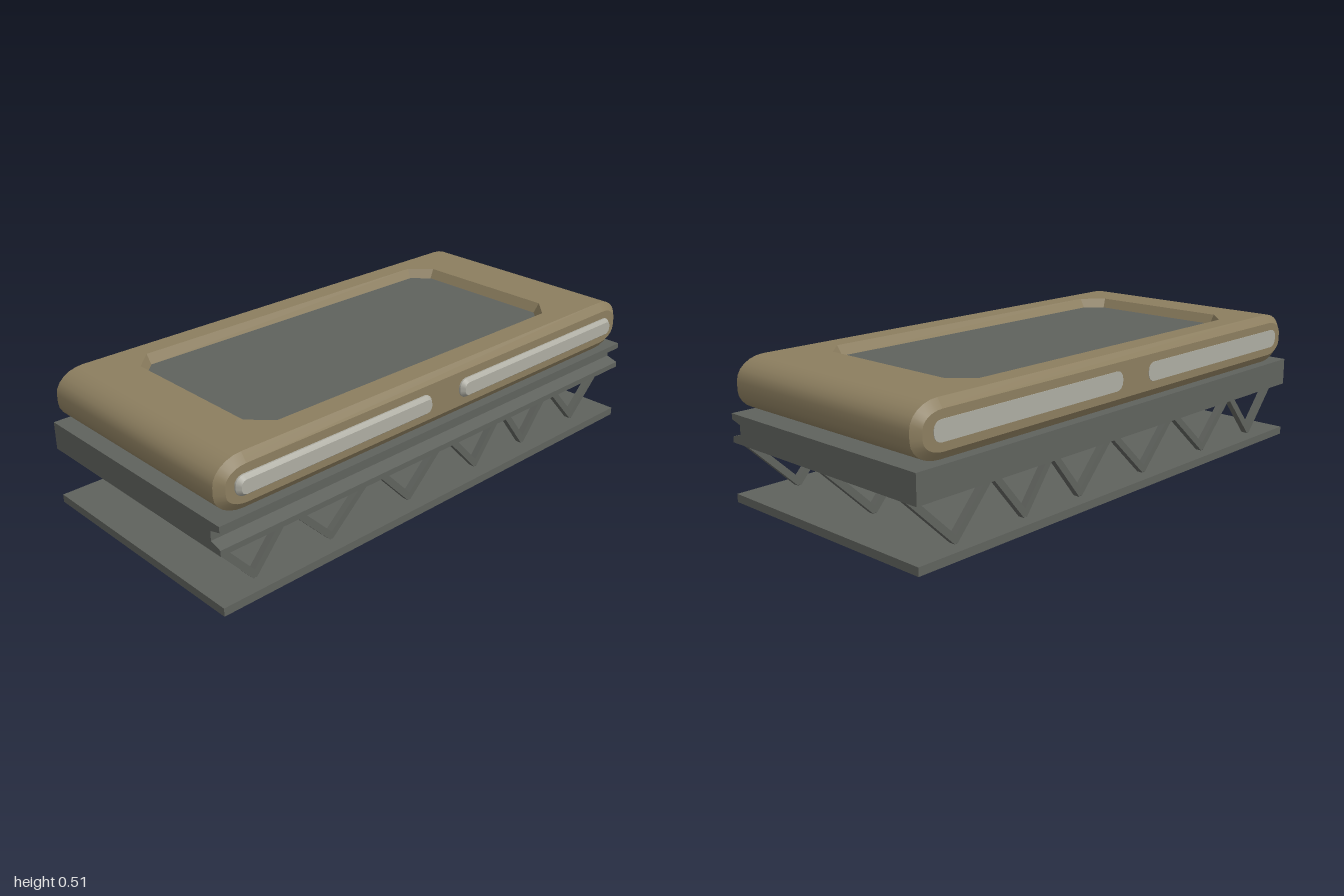
import * as THREE from 'three';
import { toCreasedNormals } from 'three/addons/utils/BufferGeometryUtils.js';

const grey = new THREE.MeshStandardMaterial({ name: 'frameGrey', color: 0x5f625d });
const tan = new THREE.MeshStandardMaterial({ name: 'bodyTan', color: 0x8c7e5f });
const pale = new THREE.MeshStandardMaterial({ name: 'lampPale', color: 0xadaca2 });

function mesh(name, geometry, material, x = 0, y = 0, z = 0) {
  const m = new THREE.Mesh(geometry, material);
  m.name = name;
  m.position.set(x, y, z);
  return m;
}

// Counter-clockwise rounded rectangle; the first point starts the upper right corner.
function roundedRing(hw, hh, rx, ry, steps = 6) {
  const points = [];
  for (let c = 0; c < 4; c++) {
    const sx = c === 0 || c === 3 ? 1 : -1;
    const sy = c < 2 ? 1 : -1;
    for (let i = 0; i <= steps; i++) {
      const a = (c + i / steps) * Math.PI / 2;
      points.push(new THREE.Vector2(sx * (hw - rx) + rx * Math.cos(a), sy * (hh - ry) + ry * Math.sin(a)));
    }
  }
  return points;
}

// Counter-clockwise rectangle with cut corners.
function octagon(x0, x1, y0, y1, c) {
  return [[x1, y0 + c], [x1, y1 - c], [x1 - c, y1], [x0 + c, y1],
    [x0, y1 - c], [x0, y0 + c], [x0 + c, y0], [x1 - c, y0]].map(p => new THREE.Vector2(...p));
}

// Skin between rings of Vector3; skip(ring, side) leaves a quad out.
function loft(rings, skip = () => false) {
  const pos = [];
  for (let r = 0; r < rings.length - 1; r++) {
    const n = rings[r].length;
    for (let i = 0; i < n; i++) {
      if (skip(r, i)) continue;
      const a = rings[r][i], b = rings[r][(i + 1) % n];
      const c = rings[r + 1][(i + 1) % n], d = rings[r + 1][i];
      for (const p of [a, b, c, a, c, d]) pos.push(p.x, p.y, p.z);
    }
  }
  const g = new THREE.BufferGeometry();
  g.setAttribute('position', new THREE.Float32BufferAttribute(pos, 3));
  return toCreasedNormals(g, 0.5);
}

function createBody() {
  const body = new THREE.Group();
  body.name = 'body';
  body.position.y = 0.417;
  const hw = 0.992, hh = 0.095, rx = 0.11, ry = 0.08, back = -0.437, front = 0.432, steps = 6;
  const full = roundedRing(hw, hh, rx, ry, steps);
  const inset = roundedRing(hw - 0.03, hh - 0.03, rx - 0.03, ry - 0.03, steps);
  const at = (ring, z) => ring.map(p => new THREE.Vector3(p.x, p.y, z));

  // Shell with bevelled ends, open where the recessed top goes
  body.add(mesh('shell', loft(
    [at(inset, -0.46), at(full, back), at(full, front), at(inset, 0.455)],
    (r, i) => r === 1 && i === steps), tan));
  const cap = new THREE.ShapeGeometry(new THREE.Shape(inset));
  body.add(mesh('frontFace', cap, tan, 0, 0, 0.455));
  const backFace = mesh('backFace', cap, tan, 0, 0, -0.46);
  backFace.rotation.y = Math.PI;
  body.add(backFace);

  // Top with a cut-cornered, sloping recess
  const rim = octagon(-0.75, 0.71, -0.35, 0.36, 0.075);
  const sill = octagon(-0.732, 0.69, -0.328, 0.34, 0.06);
  const topX = hw - rx;
  const top = new THREE.Shape([[-topX, -front], [topX, -front], [topX, -back], [-topX, -back]]
    .map(p => new THREE.Vector2(...p)));
  top.holes.push(new THREE.Path(rim.slice().reverse()));
  body.add(mesh('top', new THREE.ShapeGeometry(top).rotateX(-Math.PI / 2), tan, 0, hh, 0));
  const level = (ring, y) => ring.map(p => new THREE.Vector3(p.x, y, -p.y));
  const floorY = hh - 0.035;
  body.add(mesh('recessWall', loft([level(rim, hh), level(sill, floorY)]), tan));
  body.add(mesh('recessFloor', new THREE.ShapeGeometry(new THREE.Shape(sill)).rotateX(-Math.PI / 2),
    grey, 0, floorY, 0));

  // Raised lamps at the front, flush ones at the back
  for (const [x0, x1] of [[-0.93, -0.095], [0.05, 0.92]]) {
    const half = (x1 - x0) / 2, x = (x0 + x1) / 2;
    const outer = roundedRing(half, 0.035, 0.03, 0.03, 4);
    const inner = roundedRing(half - 0.012, 0.024, 0.02, 0.02, 4);
    body.add(mesh('frontLampRim', loft([at(outer, 0.455), at(outer, 0.461), at(inner, 0.475)]), pale, x));
    body.add(mesh('frontLampFace', new THREE.ShapeGeometry(new THREE.Shape(inner)), pale, x, 0, 0.475));
    const rear = mesh('backLamp', new THREE.ExtrudeGeometry(new THREE.Shape(outer),
      { depth: 0.004, bevelEnabled: false }), pale, x, 0, -0.462);
    body.add(rear);
  }
  return body;
}

function createTruss(z) {
  const truss = new THREE.Group();
  truss.name = 'truss';
  const joints = [-0.985, -0.83, -0.68, -0.505, -0.305, -0.135, 0.052, 0.218, 0.36, 0.493, 0.64, 0.802, 0.985];
  for (let i = 0; i < joints.length - 1; i++) {
    const yA = i % 2 ? 0.042 : 0.219, yB = i % 2 ? 0.219 : 0.042;
    const dx = joints[i + 1] - joints[i], dy = yB - yA;
    const strut = mesh('strut', new THREE.BoxGeometry(Math.hypot(dx, dy) + 0.012, 0.025, 0.025), grey,
      (joints[i] + joints[i + 1]) / 2, (yA + yB) / 2, z);
    strut.rotation.z = Math.atan2(dy, dx);
    truss.add(strut);
  }
  return truss;
}

export function createModel() {
  const model = new THREE.Group();
  model.name = 'model';

  // Ground plate
  model.add(mesh('basePlate', new THREE.BoxGeometry(2, 0.03, 0.935), grey, 0, 0.015, -0.0025));

  // Zigzag supports
  for (const z of [0.392, -0.022, -0.407]) model.add(createTruss(z));

  // Deck with a groove along its front edge; the profile is (-z, y), swept along x
  const profile = new THREE.Shape([[-0.465, 0.215], [0.47, 0.215], [0.47, 0.318], [-0.465, 0.318],
    [-0.465, 0.297], [-0.42, 0.285], [-0.42, 0.25], [-0.465, 0.236]].map(p => new THREE.Vector2(...p)));
  const deck = new THREE.ExtrudeGeometry(profile, { depth: 2, bevelEnabled: false })
    .translate(0, 0, -1).rotateY(Math.PI / 2);
  model.add(mesh('deck', deck, grey));

  model.add(createBody());
  return model;
}
